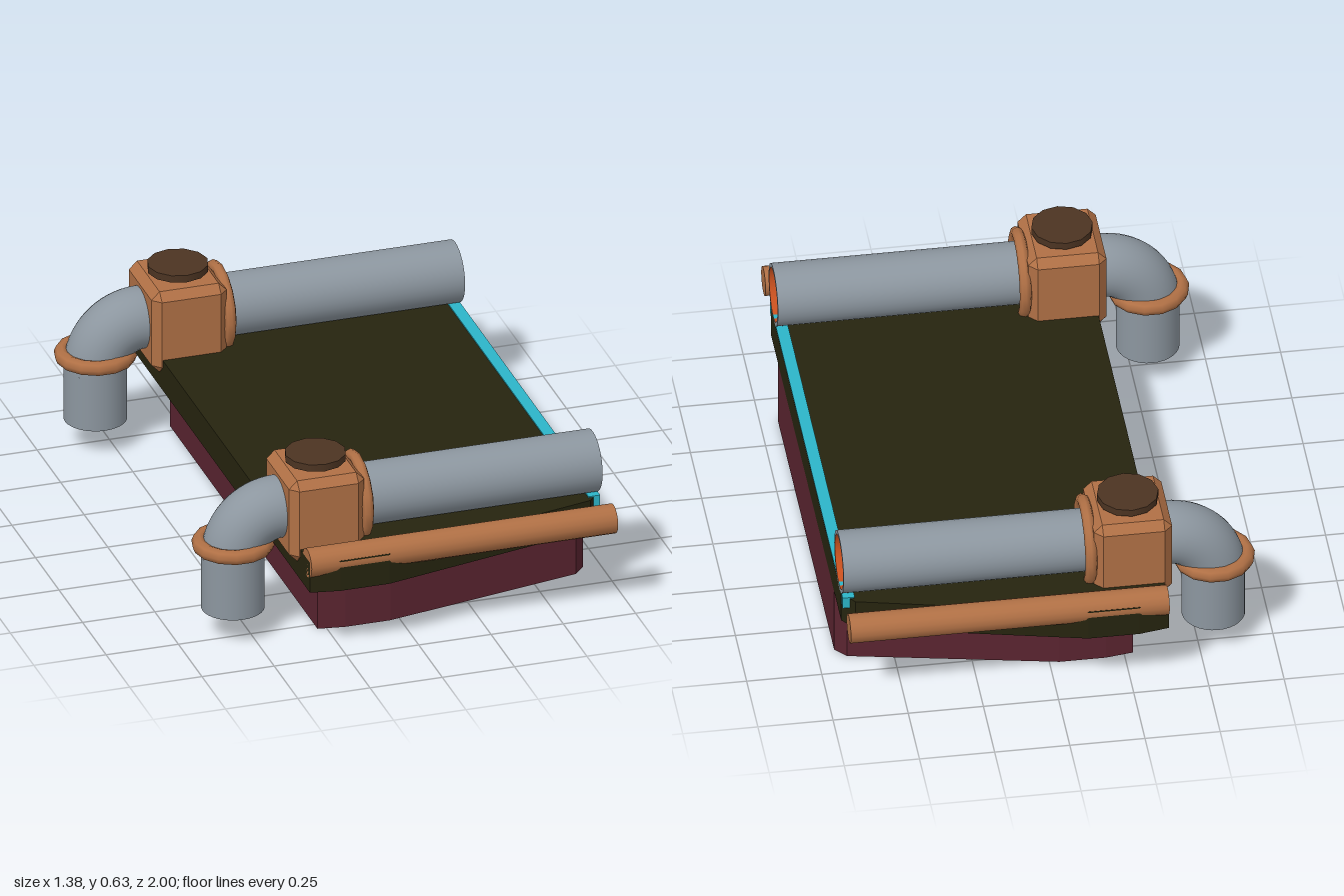
import * as THREE from 'three';
import { ConvexGeometry } from 'three/addons/geometries/ConvexGeometry.js';

const mat = (name, color) => {
  const m = new THREE.MeshStandardMaterial({ color });
  m.name = name;
  return m;
};

export function createModel() {
  const olive = mat('dark olive', 0x26240f);
  const maroon = mat('maroon', 0x5a2430);
  const steel = mat('steel grey', 0x8c969f);
  const copper = mat('copper', 0xb07045);
  const brown = mat('dark brown', 0x4c3422);
  const cyan = mat('cyan', 0x2cb5c9);
  const rust = mat('rust orange', 0xc8501e);
  rust.side = THREE.BackSide;

  const model = new THREE.Group();
  model.name = 'pipedPlatform';

  const add = (parent, name, geometry, material, x = 0, y = 0, z = 0) => {
    const mesh = new THREE.Mesh(geometry, material);
    mesh.name = name;
    mesh.position.set(x, y, z);
    parent.add(mesh);
    return mesh;
  };

  // Half outline of the platform (x, z), mirrored and scaled about the +x end
  const END = 0.69;
  const half = [[-0.37, 0.98], [-0.27, 0.998], [-0.1, 0.998], [0.65, 0.83], [END, 0.78]];
  const slab = (sx, sz, y0, y1) => {
    const near = half.map(([x, z]) => new THREE.Vector2(END + (x - END) * sx, z * sz));
    const far = near.map((p) => new THREE.Vector2(p.x, -p.y)).reverse();
    const g = new THREE.ExtrudeGeometry(new THREE.Shape([...near, ...far]),
      { depth: y1 - y0, bevelEnabled: false });
    return g.rotateX(-Math.PI / 2).translate(0, y0, 0);
  };
  add(model, 'deck', slab(1, 1, 0.24, 0.35), olive);
  add(model, 'base', slab(0.915, 0.8, 0, 0.24), maroon);

  // Light strip along the deck end
  add(model, 'edgeStrip', new THREE.BoxGeometry(0.04, 0.042, 1.62), cyan, 0.6695, 0.333, 0);

  // Box with every edge chamfered
  const chamferBox = (w, h, d, c) => {
    const pts = [];
    for (const sx of [-1, 1]) for (const sy of [-1, 1]) for (const sz of [-1, 1])
      for (let k = 0; k < 3; k++) {
        pts.push(new THREE.Vector3(
          sx * (w / 2 - (k === 0 ? 0 : c)),
          sy * (h / 2 - (k === 1 ? 0 : c)),
          sz * (d / 2 - (k === 2 ? 0 : c))));
      }
    return new ConvexGeometry(pts);
  };

  // Straight pipe along +y from its base, with a recessed open end at the top
  const R = 0.105, BORE = 0.092, RECESS = 0.06;
  const pipe = (length) => {
    const g = new THREE.Group();
    add(g, 'pipeWall', new THREE.CylinderGeometry(R, R, length, 32, 1, true), steel, 0, length / 2, 0);
    add(g, 'pipeRim', new THREE.RingGeometry(BORE, R, 32).rotateX(-Math.PI / 2), steel, 0, length, 0);
    add(g, 'pipeBore', new THREE.CylinderGeometry(BORE, BORE, RECESS, 32, 1, true), rust,
      0, length - RECESS / 2, 0);
    add(g, 'pipePlug', new THREE.CircleGeometry(BORE, 32).rotateX(-Math.PI / 2), steel,
      0, length - RECESS, 0);
    return g;
  };

  // Quarter bend from the valve down to the outlet
  class Bend extends THREE.Curve {
    getPoint(t, target = new THREE.Vector3()) {
      const a = Math.PI / 2 * (1 + t);
      return target.set(-0.4 + 0.155 * Math.cos(a), 0.29 + 0.155 * Math.sin(a), 0);
    }
  }

  for (const side of [-1, 1]) {
    const line = new THREE.Group();
    line.name = side > 0 ? 'frontPipeLine' : 'backPipeLine';
    line.position.z = side * 0.73;
    model.add(line);

    const run = pipe(END + 0.4);
    run.name = 'horizontalPipe';
    run.rotation.z = -Math.PI / 2;
    run.position.set(-0.4, 0.445, 0);
    line.add(run);

    add(line, 'elbow', new THREE.TubeGeometry(new Bend(), 16, R, 32), steel);

    const outlet = pipe(0.19);
    outlet.name = 'outletPipe';
    outlet.rotation.z = Math.PI;
    outlet.position.set(-0.555, 0.29, 0);
    line.add(outlet);

    // Valve block with its collars and top cap
    add(line, 'valveBlock', chamferBox(0.26, 0.295, 0.296, 0.028), copper, -0.27, 0.4425, 0);
    add(line, 'valveCollar', new THREE.TorusGeometry(0.134, 0.02, 8, 16).rotateY(Math.PI / 2), copper,
      -0.13, 0.445, 0);
    add(line, 'outletCollar', new THREE.TorusGeometry(0.112, 0.026, 8, 14).rotateX(Math.PI / 2), copper,
      -0.555, 0.335, 0);
    add(line, 'valveCap', new THREE.CylinderGeometry(0.102, 0.102, 0.025, 12), brown, -0.27, 0.613, 0);

    // Guard rail along the deck edge
    add(model, side > 0 ? 'frontRail' : 'backRail',
      new THREE.CylinderGeometry(0.05, 0.05, 1.06, 16).rotateZ(Math.PI / 2), copper,
      0.16, 0.335, side * 0.95);
  }
  return model;
}
